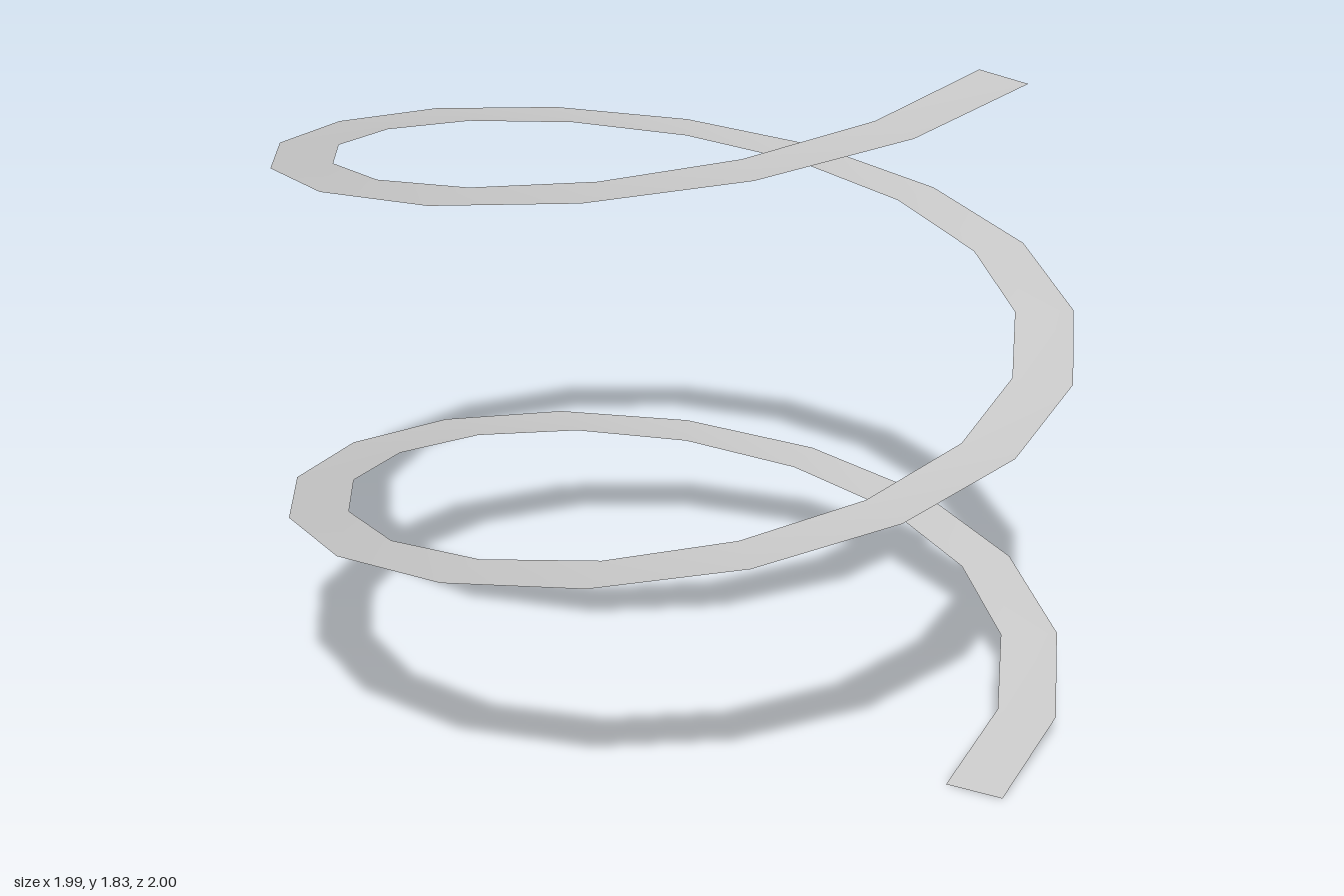
import * as THREE from 'three';

const TURNS = 2;
const SIDES = 17;        // segments per turn
const HEIGHT = 1.83;
const RADIUS = 0.929;    // centre line of the ribbon
const HALF_WIDTH = 0.075;
const OFFSET_X = -0.0086; // centres the odd-sided ring

// Flat ribbon that climbs counter-clockwise around the y axis
function helixRibbon() {
  const count = TURNS * SIDES;
  const step = (Math.PI * 2) / SIDES;
  const positions = [];
  const indices = [];
  for (let i = 0; i <= count; i++) {
    const a = i * step;
    // The two ends are cut square to their last segment
    const cut = a + (i === 0 ? step / 2 : i === count ? -step / 2 : 0);
    for (const w of [HALF_WIDTH, -HALF_WIDTH]) {
      positions.push(
        OFFSET_X + RADIUS * Math.cos(a) + w * Math.cos(cut),
        (HEIGHT * i) / count,
        -RADIUS * Math.sin(a) - w * Math.sin(cut)
      );
    }
    if (i < count) {
      const o = i * 2;
      indices.push(o, o + 2, o + 1, o + 1, o + 2, o + 3);
    }
  }
  const geometry = new THREE.BufferGeometry();
  geometry.setAttribute('position', new THREE.Float32BufferAttribute(positions, 3));
  geometry.setIndex(indices);
  geometry.computeVertexNormals();
  return geometry;
}

export function createModel() {
  const group = new THREE.Group();
  group.name = 'spiral';
  const grey = new THREE.MeshStandardMaterial({ color: 0xcccccc, side: THREE.DoubleSide });
  grey.name = 'light grey';
  const ribbon = new THREE.Mesh(helixRibbon(), grey);
  ribbon.name = 'spiralRibbon';
  group.add(ribbon);
  return group;
}
